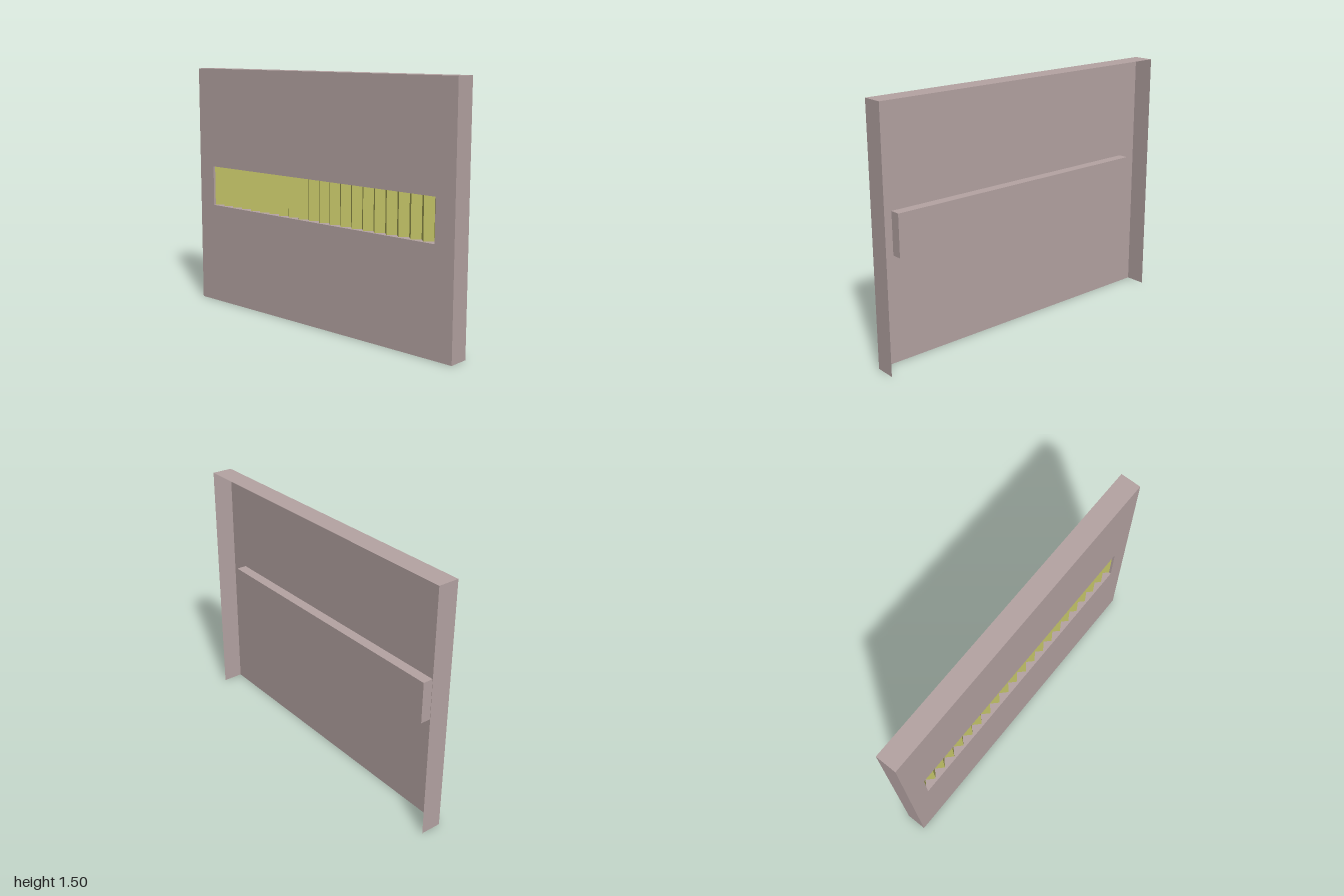
import * as THREE from 'three';

const W = 2, H = 1.5, FRONT = 0.0625, BACK = -0.0625;
const SLOT = { w: 1.75, y0: 0.63, y1: 0.88, back: 0 };
const FOLDS = 21, PEAK = 0.049, VALLEY = 0.008;

const shell = new THREE.MeshStandardMaterial({ color: 0xb5a4a3, side: THREE.DoubleSide });
const yellow = new THREE.MeshStandardMaterial({ color: 0xc0c065, side: THREE.DoubleSide, flatShading: true });

export function createModel() {
  const group = new THREE.Group();

  const add = (name, geometry, material = shell) => {
    const mesh = new THREE.Mesh(geometry, material);
    mesh.name = name;
    group.add(mesh);
    return mesh;
  };
  // thin sheet facing up or down (horizontal) at height y
  const shelf = (name, w, y, z0, z1, up) =>
    add(name, new THREE.PlaneGeometry(w, z1 - z0).rotateX(up ? -Math.PI / 2 : Math.PI / 2)
      .translate(0, y, (z0 + z1) / 2));
  // thin upright sheet facing sideways at x; dir is the facing direction
  const cheek = (name, x, y0, y1, z0, z1, dir) =>
    add(name, new THREE.PlaneGeometry(z1 - z0, y1 - y0).rotateY(dir * Math.PI / 2)
      .translate(x, (y0 + y1) / 2, (z0 + z1) / 2));

  // front panel with the slot cut out
  const rect = (P, x, y0, y1) => new P([[-x, y0], [x, y0], [x, y1], [-x, y1]]
    .map(([a, b]) => new THREE.Vector2(a, b)));
  const face = rect(THREE.Shape, W / 2, 0, H);
  face.holes.push(rect(THREE.Path, SLOT.w / 2, SLOT.y0, SLOT.y1));
  add('frontPanel', new THREE.ShapeGeometry(face).translate(0, 0, FRONT));

  // returns running back from the panel; back and bottom are open
  shelf('topReturn', W, H, BACK, FRONT, true);
  for (const s of [-1, 1]) {
    cheek(s > 0 ? 'leftReturn' : 'rightReturn', s * W / 2, 0, H, BACK, FRONT, s);
    cheek(s > 0 ? 'slotLeftWall' : 'slotRightWall', s * SLOT.w / 2, SLOT.y0, SLOT.y1, SLOT.back, FRONT, -s);
  }

  // recessed pocket behind the slot
  shelf('slotFloor', SLOT.w, SLOT.y0, SLOT.back, FRONT, true);
  shelf('slotCeiling', SLOT.w, SLOT.y1, SLOT.back, FRONT, false);
  add('slotBack', new THREE.PlaneGeometry(SLOT.w, SLOT.y1 - SLOT.y0)
    .translate(0, (SLOT.y0 + SLOT.y1) / 2, SLOT.back));

  // pleated strip: a sheet folded alternately forward and back
  const columns = FOLDS * 2 + 1;
  const pleats = new THREE.PlaneGeometry(SLOT.w, SLOT.y1 - SLOT.y0, columns - 1, 1)
    .translate(0, (SLOT.y0 + SLOT.y1) / 2, 0);
  const pos = pleats.attributes.position;
  for (let i = 0; i < pos.count; i++) pos.setZ(i, (i % columns) % 2 ? VALLEY : PEAK);
  const folded = pleats.toNonIndexed();
  folded.computeVertexNormals();
  add('pleatedStrip', folded, yellow);

  return group;
}
